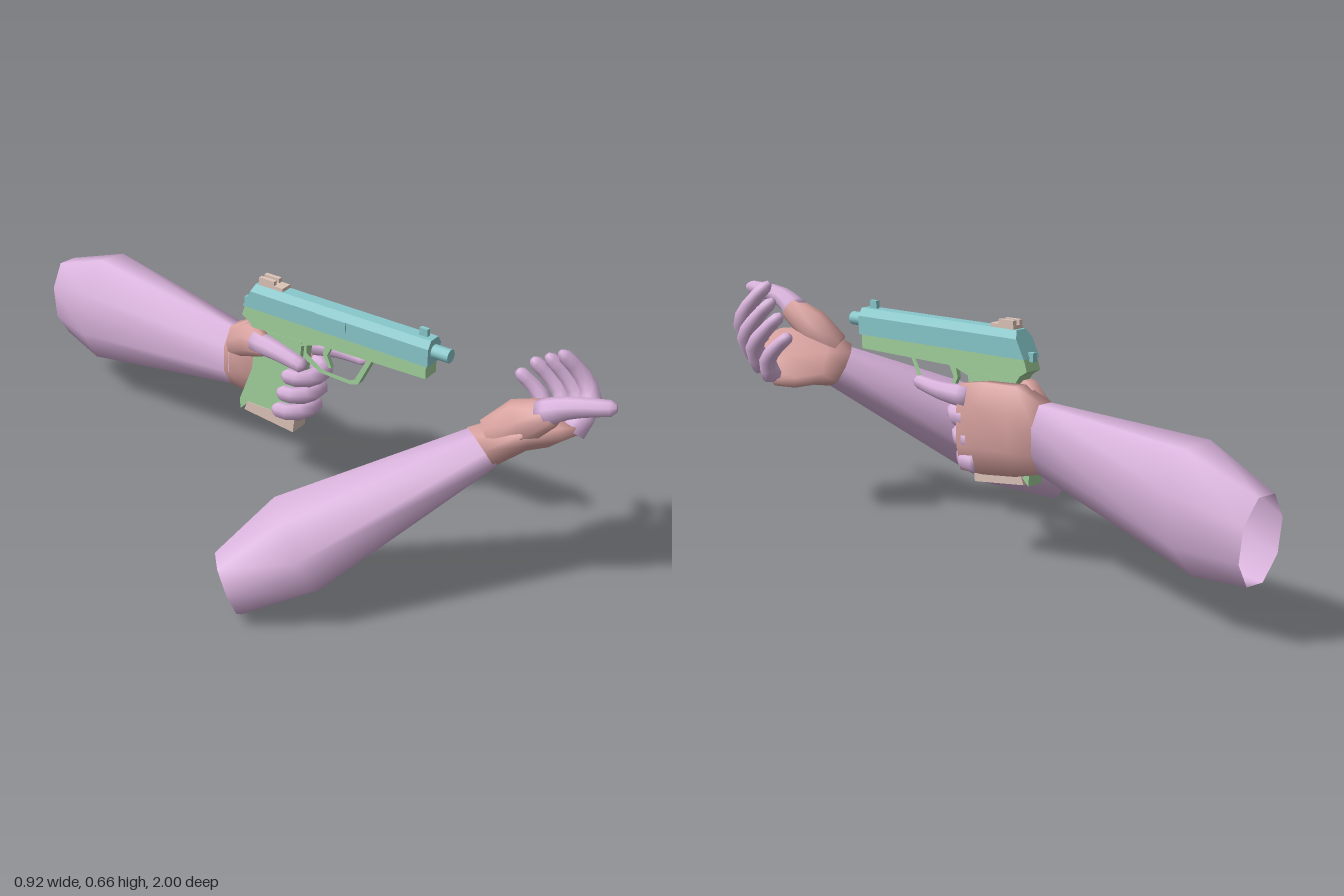
import * as THREE from 'three';

const mat = (name, color, side = THREE.FrontSide) => {
  const m = new THREE.MeshStandardMaterial({ color, side });
  m.name = name;
  return m;
};
const V = (a) => new THREE.Vector3(...a);

export function createModel() {
  const mauve = mat('mauve', 0xd9b3dc, THREE.DoubleSide);
  const rose = mat('rose', 0xd9a3a0, THREE.DoubleSide);
  const teal = mat('teal', 0x88c8cc);
  const green = mat('green', 0xa2d09c);
  const beige = mat('beige', 0xdcc4b8);
  const model = new THREE.Group();
  const CX = 0.216; // centre plane of the pistol

  const group = (name) => {
    const g = new THREE.Group();
    g.name = name;
    model.add(g);
    return g;
  };
  const add = (parent, name, geo, material) => {
    const m = new THREE.Mesh(geo, material);
    m.name = name;
    parent.add(m);
    return m;
  };

  // Skin through rings [centre, half-axis u, half-axis v]; ends closed on request
  function loft(rings, capStart, capEnd, n = 8) {
    const pos = [], idx = [], k = 1 / Math.cos(Math.PI / n);
    const R = rings.map((r) => r.map(V));
    const dir = R[R.length - 1][0].clone().sub(R[0][0]);
    const flip = R[0][1].clone().cross(R[0][2]).dot(dir) < 0 ? -1 : 1;
    for (const [c, u, v] of R) {
      for (let i = 0; i < n; i++) {
        const a = ((i + 0.5) / n) * Math.PI * 2;
        const p = c.clone().addScaledVector(u, Math.cos(a) * k).addScaledVector(v, Math.sin(a) * k * flip);
        pos.push(p.x, p.y, p.z);
      }
    }
    for (let j = 0; j < R.length - 1; j++) {
      for (let i = 0; i < n; i++) {
        const a = j * n + i, b = j * n + (i + 1) % n;
        idx.push(a, b, b + n, a, b + n, a + n);
      }
    }
    const cap = (j, end) => {
      const m = pos.length / 3;
      pos.push(...R[j][0].toArray());
      for (let i = 0; i < n; i++) {
        const a = j * n + i, b = j * n + (i + 1) % n;
        if (end) idx.push(a, b, m); else idx.push(b, a, m);
      }
    };
    if (capStart) cap(0, false);
    if (capEnd) cap(R.length - 1, true);
    const g = new THREE.BufferGeometry();
    g.setAttribute('position', new THREE.Float32BufferAttribute(pos, 3));
    g.setIndex(idx);
    g.computeVertexNormals();
    return g;
  }

  // Finger: a tapering limb along points, with a rounded tip
  function finger(points, r0, r1, ref = [0, 1, 0]) {
    const curve = new THREE.CatmullRomCurve3(points.map(V));
    const steps = [0, 0.17, 0.34, 0.5, 0.66, 0.82, 0.94, 1];
    return loft(steps.map((t) => {
      const tan = curve.getTangent(t);
      const u = V(ref).addScaledVector(tan, -V(ref).dot(tan)).normalize();
      const v = tan.clone().cross(u);
      const r = (r0 + (r1 - r0) * t) * (t === 1 ? 0.5 : 1);
      return [curve.getPoint(t).toArray(), u.multiplyScalar(r).toArray(), v.multiplyScalar(r).toArray()];
    }), true, true);
  }

  // Left arm, gripping the pistol
  const left = group('leftArm');
  add(left, 'leftForearm', loft([
    [[0.385, 0.25, -0.98], [0.01, 0.11, -0.02], [0.066, 0, 0.008]],
    [[0.35, 0.285, -0.79], [0.02, 0.155, 0], [0.11, -0.01, 0.01]],
    [[0.243, 0.348, -0.21], [0, 0.09, 0], [0.05, 0, 0]],
  ]), mauve);
  add(left, 'leftPalm', loft([
    [[0.243, 0.348, -0.225], [0, 0.092, 0], [0.052, 0, 0]],
    [[0.255, 0.358, -0.15], [0, 0.118, 0], [0.05, 0, 0]],
    [[0.276, 0.355, -0.05], [0, 0.122, 0], [0.034, 0, 0]],
    [[0.284, 0.35, 0.025], [0, 0.115, 0], [0.026, 0, 0]],
  ], true, true), rose);
  add(left, 'leftThumbBase', loft([
    [[0.235, 0.39, -0.22], [0, 0.045, 0], [0.04, 0, 0]],
    [[0.212, 0.43, -0.15], [0, 0.05, 0], [0.043, 0, 0]],
    [[0.173, 0.45, -0.07], [0, 0.033, 0], [0.026, 0, 0]],
  ], true, true), rose);
  add(left, 'leftThumb', finger([[0.178, 0.45, -0.1], [0.155, 0.455, -0.01], [0.148, 0.44, 0.085]], 0.03, 0.019), mauve);
  add(left, 'leftIndexFinger', finger([[0.285, 0.43, 0], [0.293, 0.437, 0.09], [0.272, 0.447, 0.205]], 0.029, 0.016), mauve);
  for (let i = 0; i < 3; i++) {
    const y = 0.378 - i * 0.058, z = -i * 0.016;
    add(left, 'leftGripFinger', finger([
      [0.284, y, z + 0.005], [0.275, y, z + 0.062], [0.225, y + 0.002, z + 0.076],
      [0.178, y + 0.002, z + 0.055], [0.172, y, z - 0.005],
    ], 0.028, 0.02), mauve);
  }

  // Right arm, with a cupped open hand
  const right = group('rightArm');
  add(right, 'rightForearm', loft([
    [[-0.372, 0.075, 0.22], [0.07, 0, -0.063], [-0.025, 0.075, -0.02]],
    [[-0.232, 0.17, 0.335], [0.115, 0, -0.105], [-0.04, 0.108, -0.035]],
    [[0.125, 0.41, 0.665], [0.055, -0.012, -0.055], [-0.018, 0.046, -0.02]],
  ]), mauve);
  add(right, 'rightPalm', loft([
    [[0.115, 0.41, 0.658], [0.058, -0.016, -0.057], [-0.02, 0.048, -0.02]],
    [[0.165, 0.44, 0.71], [0.075, -0.05, -0.085], [-0.016, 0.038, -0.025]],
    [[0.235, 0.437, 0.755], [0.065, -0.052, -0.1], [0.01, 0.036, -0.01]],
    [[0.302, 0.425, 0.78], [0.045, -0.038, -0.085], [0.018, 0.02, 0.006]],
  ], true, true), rose);
  add(right, 'rightThumbBase', loft([
    [[0.11, 0.455, 0.68], [0.035, 0.01, -0.03], [-0.02, 0.035, -0.01]],
    [[0.13, 0.51, 0.755], [0.045, 0, -0.02], [0, 0.045, -0.03]],
    [[0.143, 0.56, 0.835], [0.033, 0, -0.005], [0, 0.028, -0.02]],
  ], true, true), rose);
  add(right, 'rightThumb', finger([[0.14, 0.55, 0.81], [0.14, 0.589, 0.88], [0.17, 0.613, 0.995]], 0.035, 0.018), mauve);
  const cupped = [
    [[0.25, 0.455, 0.845], [0.305, 0.53, 0.862], [0.312, 0.59, 0.825], [0.275, 0.655, 0.778]],
    [[0.29, 0.435, 0.81], [0.335, 0.5, 0.815], [0.337, 0.555, 0.775], [0.308, 0.615, 0.725]],
    [[0.318, 0.42, 0.765], [0.352, 0.48, 0.762], [0.351, 0.53, 0.72], [0.325, 0.58, 0.675]],
    [[0.333, 0.4, 0.71], [0.354, 0.45, 0.705], [0.353, 0.49, 0.67], [0.335, 0.528, 0.63]],
  ];
  cupped.forEach((p, i) => add(right, 'rightFinger', finger(p, 0.032 - i * 0.002, 0.016, [0.2, -0.3, -0.9]), mauve));

  // Pistol helpers: side profile [z, y] extruded across x, and plain boxes
  const gun = group('pistol');
  const poly = (pts) => pts.map(([a, b]) => new THREE.Vector2(a, b));
  function side(pts, width, hole) {
    const s = new THREE.Shape(poly(pts));
    if (hole) s.holes.push(new THREE.Path(poly(hole)));
    return new THREE.ExtrudeGeometry(s, { depth: width, bevelEnabled: false })
      .rotateY(-Math.PI / 2).translate(CX + width / 2, 0, 0);
  }
  const box = (name, w, h, d, x, y, z, m) =>
    add(gun, name, new THREE.BoxGeometry(w, h, d).translate(CX + x, y, z), m);

  // Slide: chamfered section with a sloping rear face
  const section = new THREE.Shape(poly([
    [-0.031, 0.541], [0.031, 0.541], [0.031, 0.592], [0.018, 0.613], [-0.018, 0.613], [-0.031, 0.592],
  ]));
  const slide = new THREE.ExtrudeGeometry(section, { depth: 0.565, bevelEnabled: false }).translate(CX, 0, -0.118);
  const sp = slide.attributes.position;
  for (let i = 0; i < sp.count; i++) {
    if (sp.getZ(i) < 0) sp.setZ(i, -0.118 - (0.613 - sp.getY(i)) * 0.5);
  }
  slide.computeVertexNormals();
  add(gun, 'slide', slide, teal);
  add(gun, 'barrel', new THREE.CylinderGeometry(0.019, 0.019, 0.07, 12)
    .rotateX(Math.PI / 2).translate(CX, 0.577, 0.463), teal);
  box('frontSight', 0.012, 0.025, 0.025, 0, 0.622, 0.415, teal);
  box('ejectionPort', 0.006, 0.03, 0.1, -0.031, 0.577, 0.14, teal);
  box('hammer', 0.014, 0.024, 0.03, 0, 0.545, -0.15, teal);
  box('rearSightBase', 0.036, 0.012, 0.08, 0, 0.617, -0.068, beige);
  for (const s of [-1, 1]) box('rearSightPost', 0.012, 0.016, 0.05, s * 0.012, 0.628, -0.082, beige);

  // Frame, grip, trigger and guard
  add(gun, 'frame', side([
    [0.44, 0.541], [0.44, 0.502], [0.1, 0.495], [0.03, 0.47], [-0.11, 0.46], [-0.135, 0.495], [-0.16, 0.51], [-0.15, 0.541],
  ], 0.052), green);
  add(gun, 'grip', side([
    [0.045, 0.49], [0.02, 0.235], [-0.14, 0.235], [-0.165, 0.21], [-0.168, 0.24], [-0.125, 0.35], [-0.11, 0.48],
  ], 0.054), green);
  add(gun, 'triggerGuard', side(
    [[0.27, 0.505], [0.222, 0.408], [0.2, 0.4], [0.1, 0.403], [0.02, 0.44], [0.02, 0.505]], 0.024,
    [[0.25, 0.495], [0.21, 0.419], [0.195, 0.412], [0.105, 0.415], [0.05, 0.45], [0.05, 0.495]],
  ), green);
  add(gun, 'trigger', side([[0.135, 0.5], [0.115, 0.46], [0.13, 0.425], [0.12, 0.423], [0.1, 0.46], [0.11, 0.5]], 0.012), green);
  add(gun, 'magazineBase', side([[0.025, 0.24], [0.02, 0.195], [-0.15, 0.212], [-0.14, 0.24]], 0.058), beige);
  return model;
}
